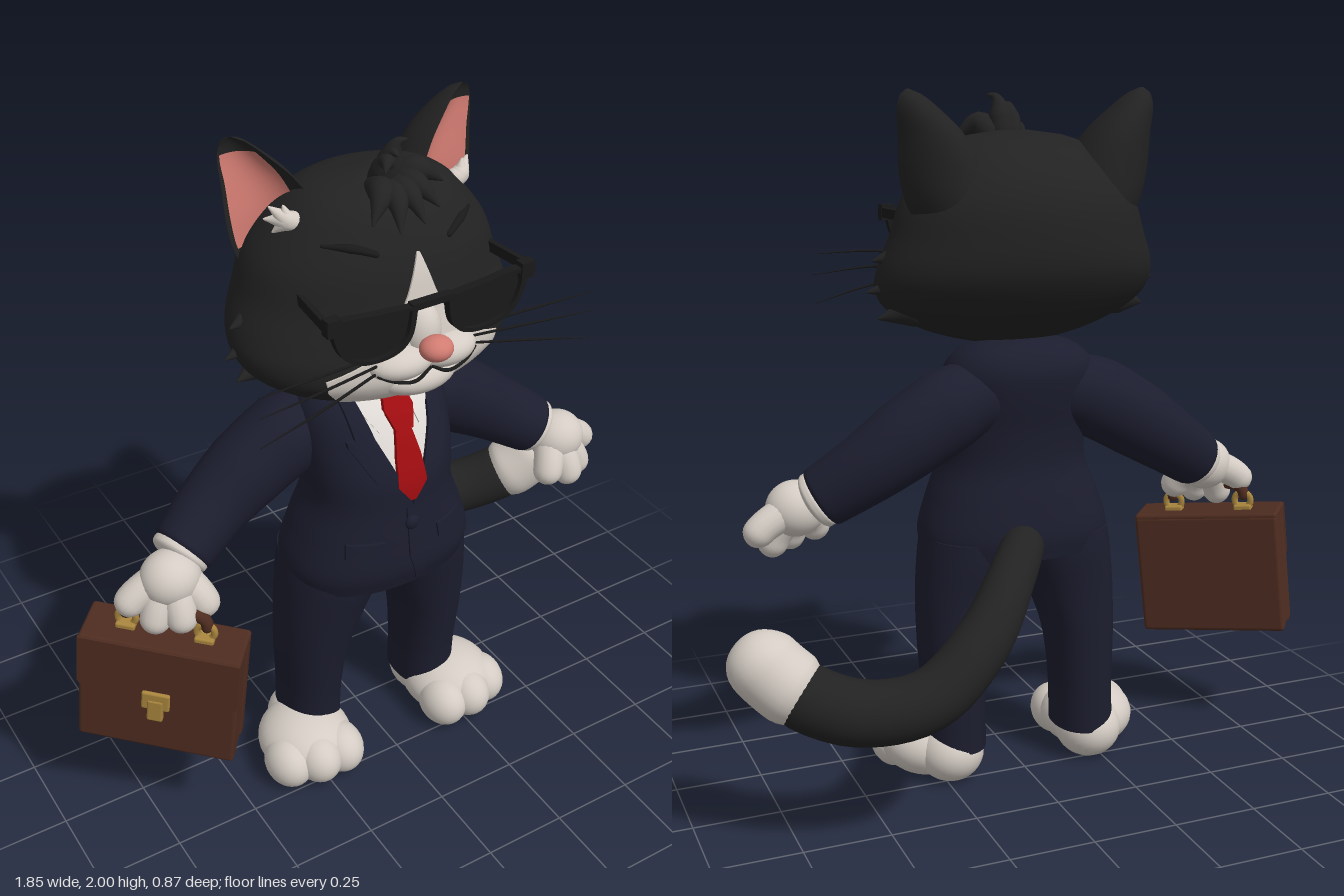
import * as THREE from 'three';
import { mergeVertices, toCreasedNormals } from 'three/addons/utils/BufferGeometryUtils.js';
import { RoundedBoxGeometry } from 'three/addons/geometries/RoundedBoxGeometry.js';

const { lerp, clamp } = THREE.MathUtils;
const paint = (name, color, side = THREE.FrontSide) => {
  const m = new THREE.MeshStandardMaterial({ color, side });
  m.name = name;
  return m;
};

// Closed or open surface from fn(u, v): u runs around, v runs along
function grid(fn, nu, nv, crease) {
  const pos = [], idx = [];
  for (let j = 0; j <= nv; j++) for (let i = 0; i <= nu; i++) {
    pos.push(...fn(i / nu, j / nv, i, j));
    const a = j * (nu + 1) + i, c = a + nu + 1;
    if (i < nu && j < nv) idx.push(a, c, a + 1, a + 1, c, c + 1);
  }
  let g = new THREE.BufferGeometry();
  g.setAttribute('position', new THREE.Float32BufferAttribute(pos, 3));
  g.setIndex(idx);
  g = mergeVertices(g, 1e-5);
  g.computeVertexNormals();
  if (crease) g = toCreasedNormals(g.scale(100, 100, 100), 0.8).scale(0.01, 0.01, 0.01);
  return g;
}

// Value of a table of rows [y, ...] at height y, smooth or straight between rows
function at(rows, y, straight) {
  let i = 0;
  while (i < rows.length - 2 && y > rows[i + 1][0]) i++;
  const a = rows[i], b = rows[i + 1], p = rows[i - 1] || a, n = rows[i + 2] || b;
  const h = b[0] - a[0], t = clamp((y - a[0]) / h, 0, 1);
  return a.map((_, k) => {
    if (straight) return lerp(a[k], b[k], t);
    const ma = (b[k] - p[k]) / (b[0] - p[0]) * h, mb = (n[k] - a[k]) / (n[0] - a[0]) * h;
    const t2 = t * t, t3 = t2 * t;
    return (2 * t3 - 3 * t2 + 1) * a[k] + (t3 - 2 * t2 + t) * ma + (3 * t2 - 2 * t3) * b[k] + (t3 - t2) * mb;
  });
}

// Upright body from rows [y, centre x, half width, back z, front z]
function loft(rows, power = 2, crease = false, nu = 64, nv = 48) {
  const y0 = rows[0][0], y1 = rows[rows.length - 1][0];
  const bend = c => Math.sign(c) * Math.abs(c) ** (2 / power);
  return grid((u, v, i, j) => {
    const y = lerp(y0, y1, clamp((j - 1) / (nv - 2), 0, 1));
    const [, cx, w, b, f] = at(rows, y), k = j === 0 || j === nv ? 0 : 1, a = (i % nu) / nu * Math.PI * 2;
    return [cx + k * w * bend(Math.cos(a)), y, (b + f) / 2 + k * (f - b) / 2 * bend(Math.sin(a))];
  }, nu, nv, crease);
}
const frontZ = (rows, power, x, y) => {
  const [, cx, w, b, f] = at(rows, y), q = Math.min(1, Math.abs((x - cx) / w));
  return (b + f) / 2 + (f - b) / 2 * (1 - q ** power) ** (1 / power);
};

// Thin plate following the front of a loft; rows [y, x0, x1]
function plate(rows, body, power, lift) {
  const ys = [rows[0][0]];
  for (let r = 1; r < rows.length; r++) for (let s = 1; s <= 6; s++) ys.push(lerp(rows[r - 1][0], rows[r][0], s / 6));
  const nu = 18, nv = ys.length + 1;
  return grid((u, v, i, j) => {
    const y = ys[clamp(j - 1, 0, ys.length - 1)], [, x0, x1] = at(rows, y, true);
    const x = lerp(x1, x0, clamp((i - 1) / (nu - 2), 0, 1));
    const edge = i === 0 || i === nu || j === 0 || j === nv;
    return [x, y, frontZ(body, power, x, y) + (edge ? -0.004 : lift)];
  }, nu, nv, true);
}

// Tapered tube with rounded ends
function tube(pts, radii, { round = 1, sides = 16, seg = 24 } = {}) {
  const c = new THREE.CatmullRomCurve3(pts.map(p => new THREE.Vector3(...p)));
  const L = c.getLength(), f = c.computeFrenetFrames(200, false);
  return grid((u, v) => {
    const t = 0.5 - 0.5 * Math.cos(Math.PI * v), k = Math.round(t * 200);
    const s = t * (radii.length - 1), i = Math.min(Math.floor(s), radii.length - 2);
    let r = lerp(radii[i], radii[i + 1], s - i);
    const d = Math.min(t, 1 - t) * L / (r * round + 1e-6);
    if (d < 1) r *= Math.sqrt(1 - (1 - d) ** 2);
    const a = u * Math.PI * 2;
    return c.getPointAt(t).addScaledVector(f.normals[k], r * Math.cos(a))
      .addScaledVector(f.binormals[k], -r * Math.sin(a)).toArray();
  }, sides, seg);
}

// Ellipsoid resting no lower than the floor
function ball(c, r) {
  const g = new THREE.SphereGeometry(1, 28, 20).scale(...r).translate(...c), p = g.attributes.position;
  for (let i = 0; i < p.count; i++) p.setY(i, Math.max(0, p.getY(i)));
  return g;
}

function mirrored(g) {
  const m = g.clone().applyMatrix4(new THREE.Matrix4().makeScale(-1, 1, 1));
  const ids = m.index ? Array.from(m.index.array) : Array.from({ length: m.attributes.position.count }, (_, i) => i);
  m.setIndex(ids.reverse());
  return m;
}

export function createModel() {
  const fur = paint('black fur', 0x222222), white = paint('white fur', 0xd4ccc4), pink = paint('pink skin', 0xd27c72, THREE.DoubleSide);
  const navy = paint('navy cloth', 0x1c1d2e), red = paint('red silk', 0x9e0c0f), shirt = paint('white shirt', 0xe0dbd6);
  const leather = paint('brown leather', 0x4e2c20), darkLeather = paint('dark leather', 0x40251a);
  const brass = paint('brass', 0xa8853e), gloss = paint('glasses black', 0x191919, THREE.DoubleSide);
  const model = new THREE.Group();
  const add = (name, g, mat, parent = model) => {
    const m = new THREE.Mesh(g, mat);
    m.name = name;
    parent.add(m);
    return m;
  };
  const pair = (name, g, mat) => { add(name + 'Left', g, mat); add(name + 'Right', mirrored(g), mat); };

  // Head with its white face marking
  const head = [[1.285, 0, .03, .08, .15], [1.3, 0, .14, .03, .215], [1.34, 0, .27, -.05, .295], [1.4, 0, .37, -.13, .34],
    [1.46, 0, .405, -.18, .345], [1.52, 0, .4, -.21, .335], [1.6, 0, .37, -.22, .32], [1.7, 0, .335, -.21, .305],
    [1.78, 0, .275, -.17, .275], [1.84, 0, .21, -.1, .235], [1.87, 0, .145, -.03, .18], [1.885, 0, .04, .05, .11]];
  add('head', loft(head), fur);
  add('faceMarking', plate([[1.303, -.1, .1], [1.34, -.2, .2], [1.4, -.25, .25], [1.44, -.26, .26], [1.48, -.17, .17],
    [1.53, -.09, .09], [1.64, -.04, .04], [1.74, -.004, .004]], head, 2, .005), white);
  pair('muzzle', ball([.065, 1.465, .318], [.095, .048, .07]), white);
  add('noseBridge', ball([0, 1.53, .312], [.055, .08, .055]), white);
  add('chin', ball([0, 1.4, .29], [.12, .055, .085]), white);
  add('nose', ball([0, 1.512, .388], [.045, .033, .042]), pink);
  pair('mouth', tube([[0, 1.45, .37], [.05, 1.425, .375], [.11, 1.437, .368], [.15, 1.455, .35]], [.004, .005, .004, .003]), gloss);
  pair('eyebrow', tube([[.1, 1.748], [.15, 1.765], [.22, 1.77]].map(([x, y]) => [x, y, frontZ(head, 2, x, y)]), [.008, .012, .004]), gloss);
  [[1.51, 1.53], [1.48, 1.47], [1.46, 1.385]].forEach(([y0, y1], i) => pair('whisker' + i,
    tube([[.14, y0, .34], [.32, (y0 + y1) / 2 + .012, .38], [.505, y1, .385]], [.004, .004, .001], { sides: 6, seg: 12 }), gloss));
  [[.418, 1.54], [.435, 1.455], [.405, 1.38]].forEach(([x, y], i) => pair('cheekTuft' + i,
    tube([[.28, y + .03, .05], [x, y, .08]], [.065, .002]), fur));
  [[-.11, 1.82, .26], [-.05, 1.8, .295], [.02, 1.81, .295], [.08, 1.83, .27], [.135, 1.86, .2], [.045, 1.98, .17],
    [-.05, 1.93, .22], [0, 1.955, .2]].forEach((p, i) => add('hairTuft' + i,
    tube([[p[0] * .2, 1.85, .13], [p[0] * .5, lerp(1.87, p[1], .6) + .035, lerp(.14, p[2], .6)], p], [.04, .034, .002]), fur));

  // Cupped ears turned slightly outward, rows [y, centre x, half width, depth, centre z]
  const ear = [[1.56, .21, .03, .06, 0], [1.62, .23, .08, .13, .01], [1.7, .248, .108, .16, .025], [1.78, .255, .12, .16, .03],
    [1.88, .285, .092, .125, .01], [1.95, .32, .058, .075, -.01], [1.99, .338, .026, .03, -.02], [2, .342, .004, .003, -.022]];
  const earPoint = (a, y, lift = 0) => {
    const [, cx, w, d, cz] = at(ear, y), s = Math.sin(a), x = w * Math.cos(a), turn = .38;
    const z = s > 0 ? -.35 * d * s * s + lift : d * s;
    return [cx + x * Math.cos(turn) + z * Math.sin(turn), y, cz - x * Math.sin(turn) + z * Math.cos(turn)];
  };
  pair('ear', grid((u, v) => earPoint(u * Math.PI * 2, lerp(1.56, 2, v)), 40, 32), fur);
  pair('innerEar', grid((u, v) => earPoint(lerp(.15, lerp(.64, .76, v), u) * Math.PI, lerp(1.7, 1.955, v), .005), 16, 20), pink);
  [[.295, 1.845, .075], [.305, 1.81, .065], [.265, 1.85, .095], [.29, 1.775, .08]].forEach((p, i) => pair('earTuft' + i,
    tube([[.215, 1.785, .09], [.25, 1.805, .1], p], [.026, .024, .002]), white));

  // Sunglasses
  const rim = k => [[.045, 1.635], [.16, 1.645], [.28, 1.65], [.265, 1.56], [.2, 1.515], [.11, 1.515], [.06, 1.555]]
    .map(([x, y]) => new THREE.Vector2(.16 + (x - .16) * k, 1.585 + (y - 1.585) * k));
  const outline = (S, k) => { const p = rim(k), s = new S(); s.moveTo(p[0].x, p[0].y); s.splineThru([...p.slice(1), p[0]]); return s; };
  const frame = outline(THREE.Shape, 1);
  frame.holes.push(outline(THREE.Path, .86));
  pair('glassesFrame', new THREE.ExtrudeGeometry(frame, { depth: .025, bevelEnabled: false, curveSegments: 6 }).translate(0, 0, .345), gloss);
  pair('lens', new THREE.ShapeGeometry(outline(THREE.Shape, .9), 6).translate(0, 0, .357), gloss);
  add('glassesBridge', new THREE.BoxGeometry(.12, .018, .025).translate(0, 1.633, .357), gloss);
  pair('glassesHinge', new THREE.BoxGeometry(.04, .045, .03).translate(.285, 1.645, .36), gloss);
  pair('glassesArm', new THREE.BoxGeometry(.015, .028, .25).rotateY(.1).translate(.287, 1.645, .25), gloss);

  // Jacket, shirt and tie
  const jacket = [[.685, 0, .277, -.1, .29], [.75, 0, .283, -.11, .308], [.85, 0, .252, -.095, .303], [.95, 0, .216, -.075, .293],
    [1.05, 0, .217, -.08, .285], [1.15, 0, .222, -.1, .25], [1.22, 0, .218, -.108, .215], [1.265, 0, .195, -.095, .183],
    [1.295, 0, .15, -.075, .155], [1.31, 0, .1, -.055, .135]];
  const onJacket = (rows, lift) => plate(rows, jacket, 2.3, lift);
  add('jacket', loft(jacket, 2.3, true), navy);
  add('shirtFront', onJacket([[1, -.005, .005], [1.1, -.06, .06], [1.2, -.1, .1], [1.285, -.11, .11]], .004), shirt);
  pair('shirtCollar', onJacket([[1.185, .055, .065], [1.24, .04, .1], [1.29, .025, .11]], .012), shirt);
  pair('lapel', onJacket([[.96, -.005, .015], [1.06, .035, .1], [1.16, .077, .155], [1.175, .083, .155], [1.18, .085, .135], [1.275, .108, .145]], .014), navy);
  add('tie', onJacket([[.99, -.008, .008], [1.04, -.046, .046], [1.12, -.038, .038], [1.2, -.022, .022]], .016), red);
  add('tieKnot', onJacket([[1.19, -.026, .026], [1.245, -.045, .045], [1.275, -.036, .036]], .026), red);
  add('jacketOverlap', onJacket([[.7, .02, .06], [.8, -.01, .03], [.97, -.015, .03]], .006), navy);
  add('jacketButton', ball([0, .91, .302], [.022, .022, .012]), navy);
  pair('pocketFlap', onJacket([[.825, .09, .19], [.87, .085, .185]], .008), navy);

  // Sleeves and paws
  pair('sleeve', tube([[.09, 1.165, .02], [.2, 1.135, .015], [.32, 1.07, .01], [.45, .985, .02], [.6, .885, .065]],
    [.1, .119, .114, .1, .088], { round: .25, sides: 28, seg: 36 }), navy);
  pair('wristFur', tube([[.57, .905, .055], [.618, .873, .075]], [.084, .082], { round: .3, sides: 24 }), white);
  pair('palm', ball([.648, .858, .11], [.085, .08, .08]), white);
  [[.568, .745, .18], [.655, .722, .185], [.725, .718, .14], [.79, .775, .085]].forEach((p, i) => pair('finger' + i,
    tube([[.635, .875, .1], [lerp(.635, p[0], .7), lerp(.875, p[1], .55), lerp(.1, p[2], .75)], p], [.05, .046, .042]), white));

  // Trousers and feet
  pair('trouserLeg', loft([[.1, .207, .09, -.06, .17], [.25, .205, .09, -.06, .18], [.4, .2, .102, -.06, .2],
    [.55, .175, .127, -.065, .225], [.68, .145, .145, -.08, .25], [.74, .14, .14, -.08, .25]], 2.2, true, 40, 30), navy);
  pair('heel', ball([.225, .082, .04], [.1, .092, .107]), white);
  pair('instep', ball([.262, .085, .135], [.142, .1, .15]), white);
  [[.19, .074, .218], [.272, .08, .225], [.35, .072, .19]].forEach((c, i) => pair('toe' + i, ball(c, [.071, .078, .087]), white));

  // Tail with white tip
  add('tail', tube([[.02, .755, -.06], [.12, .69, -.2], [.25, .555, -.31], [.42, .43, -.355], [.6, .41, -.325], [.74, .46, -.265], [.79, .51, -.235]],
    [.06, .068, .08, .085, .09, .092], { sides: 28, seg: 48 }), fur);
  add('tailTip', tube([[.7, .437, -.283], [.76, .475, -.252], [.83, .545, -.215], [.875, .615, -.19]], [.098, .101, .1, .092],
    { round: .9, sides: 28 }), white);

  // Briefcase hanging from the right paw
  const bag = new THREE.Group();
  bag.name = 'briefcase';
  bag.position.set(-.7, .505, .12);
  bag.rotation.set(0, -.71, -.105, 'YZX');
  model.add(bag);
  const box = (name, w, h, d, x, y, z, mat, r = .012) => add(name, new RoundedBoxGeometry(w, h, d, 3, r).translate(x, y, z), mat, bag);
  box('bagFront', .45, .375, .058, 0, 0, .043, leather);
  box('bagGusset', .43, .365, .06, 0, 0, 0, darkLeather);
  box('bagMiddle', .445, .37, .035, 0, 0, -.008, leather);
  box('bagBack', .45, .375, .045, 0, 0, -.05, leather);
  box('bagTop', .45, .022, .15, 0, .185, .004, leather, .01);
  const flap = new THREE.Shape();
  flap.moveTo(-.225, .19);
  [[-.225, .03], [-.2, .005], [-.06, -.015], [.06, -.015], [.2, .005], [.225, .03], [.225, .19]].forEach(p => flap.lineTo(...p));
  add('bagFlap', new THREE.ExtrudeGeometry(flap, { depth: .012, bevelEnabled: false }).translate(0, 0, .07), leather, bag);
  box('claspPlate', .08, .06, .014, 0, .012, .086, brass, .006);
  box('claspTongue', .045, .075, .02, 0, -.02, .086, brass, .006);
  [-1, 1].forEach(s => {
    box('handleMount', .055, .02, .045, s * .11, .2, 0, brass, .006);
    add('handleRing', new THREE.TorusGeometry(.025, .01, 8, 20).translate(s * .11, .222, 0), brass, bag);
  });
  add('bagHandle', tube([[-.115, .222, 0], [-.105, .265, 0], [0, .285, 0], [.105, .265, 0], [.115, .222, 0]], [.016, .02, .022, .02, .016]), leather, bag);
  return model;
}
